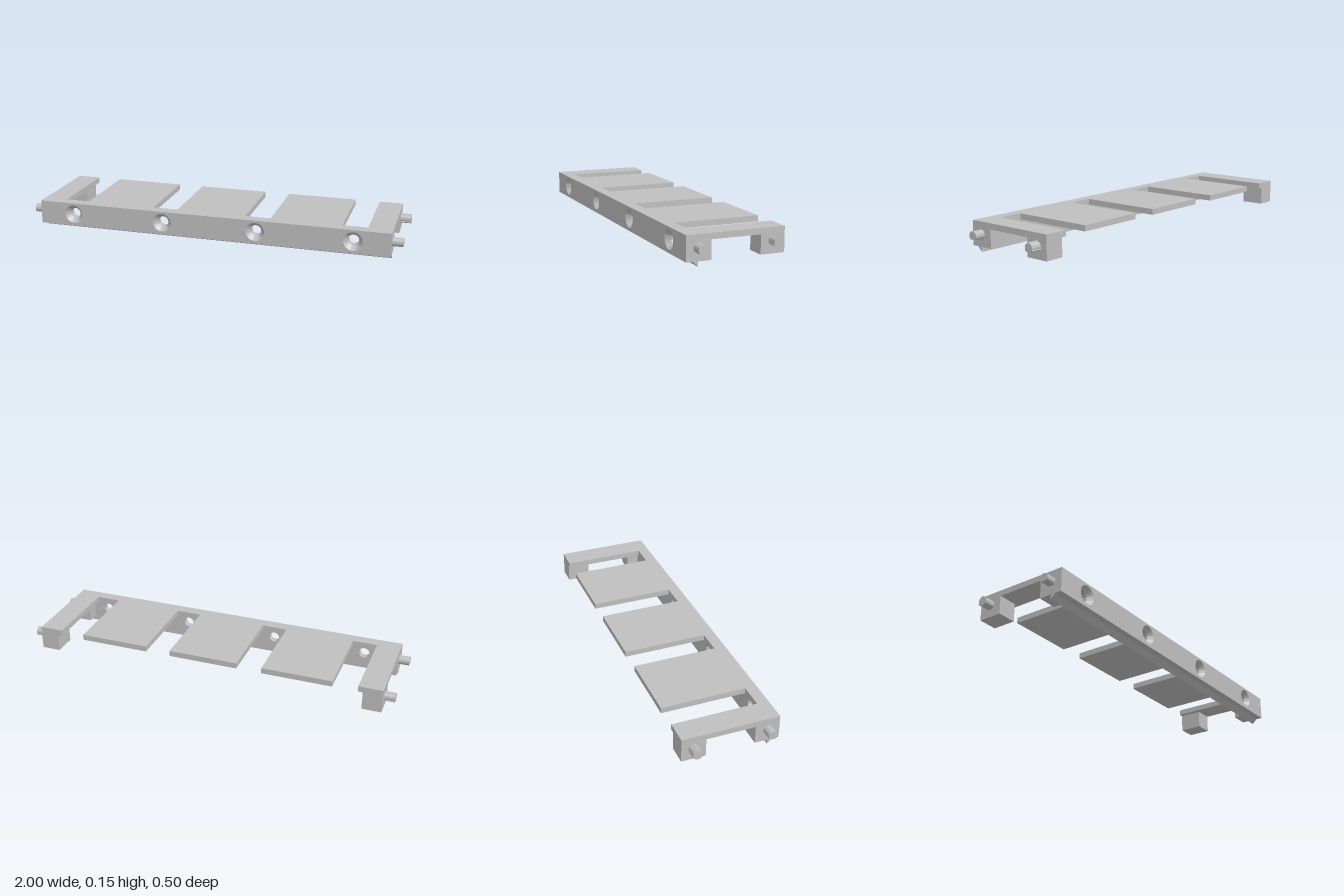
import * as THREE from 'three';
import { toCreasedNormals } from 'three/addons/utils/BufferGeometryUtils.js';

const HALF = 0.945;               // half length of the bar
const BACK = -0.25, WALL = 0.19, FRONT = 0.25;
const LOW = 0.025, DECK = 0.12, TOP = 0.15;
const PIN_Y = 0.088, PIN_R = 0.0235;

export function createModel() {
  const group = new THREE.Group();
  const grey = new THREE.MeshStandardMaterial({ color: 0xbfbfbf });
  grey.name = 'plainGrey';

  const add = (name, geometry) => {
    const mesh = new THREE.Mesh(geometry, grey);
    mesh.name = name;
    group.add(mesh);
    return mesh;
  };
  const box = (name, x0, x1, y0, y1, z0, z1) =>
    add(name, new THREE.BoxGeometry(x1 - x0, y1 - y0, z1 - z0))
      .position.set((x0 + x1) / 2, (y0 + y1) / 2, (z0 + z1) / 2);
  const creased = (g) => toCreasedNormals(g, 0.6);
  // Extrudes a profile drawn in (-z, y) along x
  const alongX = (shape, x0, x1) => {
    const g = new THREE.ExtrudeGeometry(shape, { depth: x1 - x0, bevelEnabled: false, curveSegments: 32 });
    g.translate(0, 0, x0);
    g.rotateY(Math.PI / 2);
    return creased(g);
  };

  // Front bar with four screw holes
  const holeXs = [-0.755, -0.252, 0.252, 0.755];
  const holeY = 0.09, rOuter = 0.049, rInner = 0.028;
  const face = new THREE.Shape([
    new THREE.Vector2(-HALF, LOW), new THREE.Vector2(HALF, LOW),
    new THREE.Vector2(HALF, TOP), new THREE.Vector2(-HALF, TOP),
  ]);
  for (const x of holeXs) {
    face.holes.push(new THREE.Path().absarc(x, holeY, rOuter, 0, Math.PI * 2, true));
  }
  const bar = new THREE.ExtrudeGeometry(face, { depth: FRONT - WALL, bevelEnabled: false, curveSegments: 24 });
  bar.translate(0, 0, WALL);
  add('frontBar', creased(bar));

  // Countersunk sleeves lining the holes
  const sleeveProfile = [[rOuter, FRONT], [rInner, FRONT - 0.025], [rInner, WALL], [rOuter, WALL]]
    .map(([r, z]) => new THREE.Vector2(r, z));
  for (const x of holeXs) {
    const g = new THREE.LatheGeometry(sleeveProfile, 48);
    g.rotateX(Math.PI / 2);
    add('screwHole', creased(g)).position.set(x, holeY, 0);
  }

  // Wedge lip under the bar
  const lip = new THREE.Shape([
    new THREE.Vector2(-0.216, LOW), new THREE.Vector2(-WALL, 0), new THREE.Vector2(-WALL, LOW),
  ]);
  add('bottomLip', alongX(lip, -HALF, HALF));

  // Three flat tabs
  for (const x of [-0.505, 0, 0.505]) box('tab', x - 0.185, x + 0.185, DECK, TOP, BACK, WALL);

  // Pin profiles: one with a flat underside, one round
  const flat = Math.asin(0.018 / PIN_R);
  const flatPin = new THREE.Shape().absarc(-WALL, PIN_Y, PIN_R, -flat, Math.PI + flat, false);
  const roundPin = new THREE.Shape().absarc(0.19, PIN_Y, PIN_R, 0, Math.PI * 2, false);

  // End arms with their blocks and pins
  for (const s of [-1, 1]) {
    const span = (a, b) => (s > 0 ? [a, b] : [-b, -a]);
    box('endArm', ...span(0.82, HALF), DECK, TOP, BACK, WALL);
    box('rearBlock', ...span(0.845, HALF), LOW, DECK, BACK, -0.126);
    box('frontBlock', ...span(0.845, HALF), LOW, DECK, 0.125, WALL);

    const pinSpan = span(HALF, 1);
    add('frontPin', alongX(flatPin, ...pinSpan));
    add('rearPin', alongX(roundPin, ...pinSpan));
    // Small crush ribs around the rear pin
    for (const deg of [90, 210, 330]) {
      const a = THREE.MathUtils.degToRad(deg);
      const rib = new THREE.Shape().absarc(
        0.19 + PIN_R * Math.cos(a), PIN_Y + PIN_R * Math.sin(a), 0.0035, 0, Math.PI * 2, false);
      add('pinRib', alongX(rib, ...pinSpan));
    }
  }
  return group;
}
